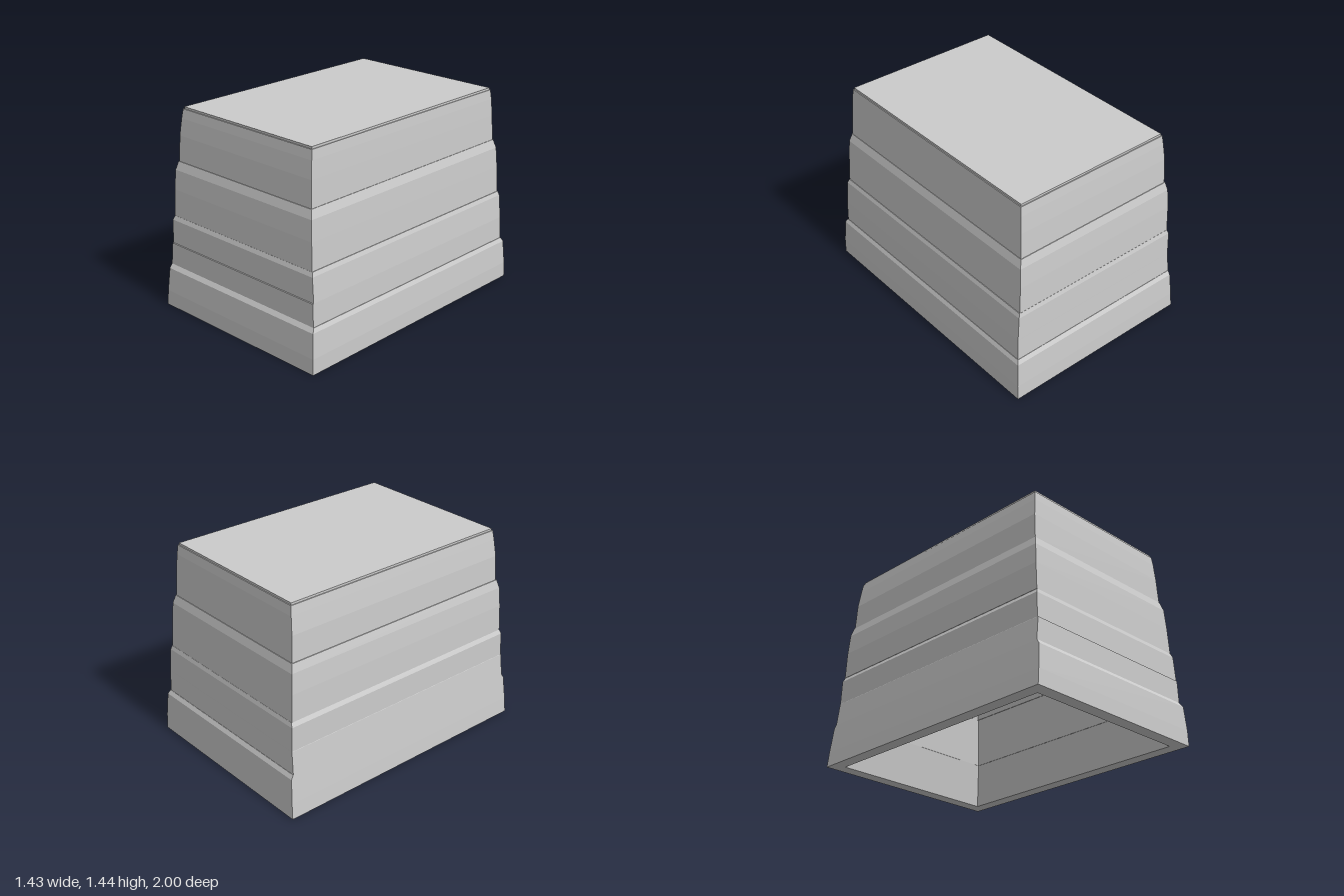
import * as THREE from 'three';

const WALL = 0.09;
const material = new THREE.MeshStandardMaterial({ color: 0xcccccc, flatShading: true });

// Outline of each tier, bottom to top: [height, left-hand x, right-hand x, front z, back z]
const tiers = [
  ['bottomTier', [
    [0, -0.72, 0.715, 1.0, -1.0],
    [0.11, -0.71, 0.714, 0.997, -0.995],
    [0.28, -0.693, 0.703, 0.985, -0.982],
    [0.31, -0.69, 0.69, 0.966, -0.966]]],
  ['lowerTier', [
    [0.31, -0.69, 0.687, 0.966, -0.964],
    [0.468, -0.673, 0.683, 0.963, -0.958],
    [0.47, -0.672, 0.683, 0.957, -0.958],
    [0.64, -0.67, 0.67, 0.953, -0.951],
    [0.67, -0.655, 0.66, 0.943, -0.943]]],
  ['upperTier', [
    [0.67, -0.658, 0.656, 0.942, -0.942],
    [0.86, -0.654, 0.648, 0.934, -0.934],
    [1.0, -0.645, 0.64, 0.925, -0.924],
    [1.06, -0.63, 0.622, 0.908, -0.908]]],
  ['topTier', [
    [1.06, -0.625, 0.619, 0.904, -0.904],
    [1.24, -0.618, 0.612, 0.895, -0.895],
    [1.36, -0.602, 0.606, 0.885, -0.885],
    [1.425, -0.592, 0.6, 0.877, -0.877]]],
];

// Four corners of a rectangular loop, anticlockwise from above
function corners([y, x0, x1, z1, z0]) {
  return [[x1, y, z1], [x1, y, z0], [x0, y, z0], [x0, y, z1]];
}

const inset = ([y, x0, x1, z1, z0]) => [y, x0 + WALL, x1 - WALL, z1 - WALL, z0 + WALL];

// Hollow frame: up the outside, over the top edge, down the inside, back under
function frameGeometry(outer) {
  const inner = [outer[outer.length - 1], outer[0]].map(inset);
  const loops = [...outer, ...inner].map(corners);
  const positions = [];
  loops.forEach((a, k) => {
    const b = loops[(k + 1) % loops.length];
    for (let i = 0; i < 4; i++) {
      const j = (i + 1) % 4;
      positions.push(...a[i], ...a[j], ...b[j], ...a[i], ...b[j], ...b[i]);
    }
  });
  const geometry = new THREE.BufferGeometry();
  geometry.setAttribute('position', new THREE.Float32BufferAttribute(positions, 3));
  geometry.computeVertexNormals();
  return geometry;
}

export function createModel() {
  const group = new THREE.Group();
  group.name = 'taperedCrate';

  // Four stacked wall frames, open underneath
  for (const [name, outline] of tiers) {
    const tier = new THREE.Mesh(frameGeometry(outline), material);
    tier.name = name;
    group.add(tier);
  }

  // Flat lid closing the top
  const lid = new THREE.Mesh(new THREE.BoxGeometry(1.18, 0.015, 1.742), material);
  lid.name = 'lid';
  lid.position.set(0.004, 1.4325, 0);
  group.add(lid);

  return group;
}
